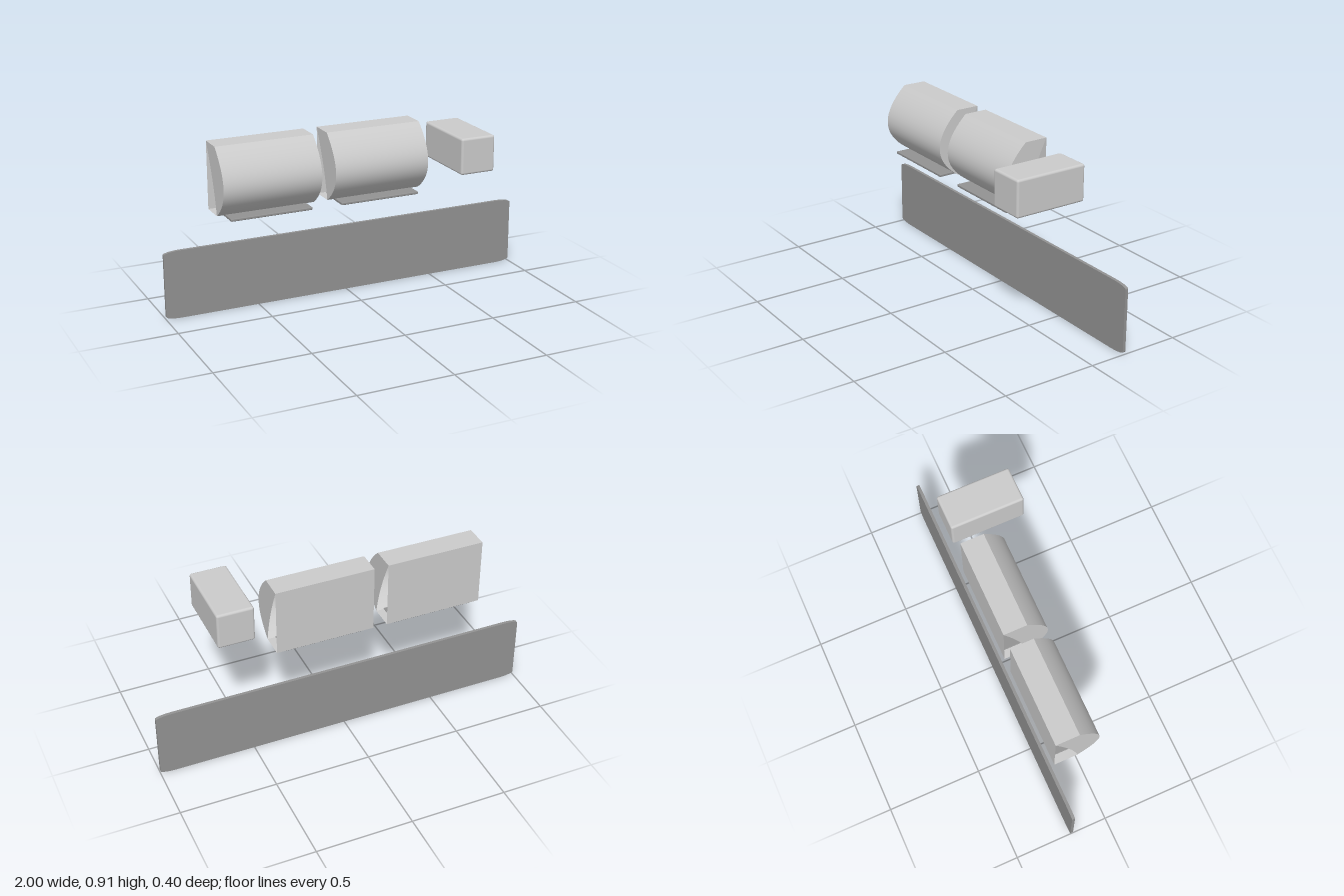
import * as THREE from 'three';
import { RoundedBoxGeometry } from 'three/addons/geometries/RoundedBoxGeometry.js';

const grey = new THREE.MeshStandardMaterial({ color: 0xcccccc });
const thin = new THREE.MeshStandardMaterial({ color: 0xcccccc, side: THREE.DoubleSide });
const dark = new THREE.MeshStandardMaterial({ color: 0x929292 });

const TOP = 0.91, BOTTOM = 0.555, EDGE = -0.066, BACK = -0.19;

function add(parent, name, geometry, material, x = 0, y = 0, z = 0) {
  const mesh = new THREE.Mesh(geometry, material);
  mesh.name = name;
  mesh.position.set(x, y, z);
  parent.add(mesh);
  return mesh;
}

// Bulging front sheet: one curve swept along x, smooth across the curve
function sweptSheet(curve, width, steps) {
  const geo = new THREE.PlaneGeometry(width, 1, 1, steps);
  const pos = geo.attributes.position;
  for (let i = 0; i < pos.count; i++) {
    const p = curve.getPoint(0.5 - pos.getY(i));
    pos.setXYZ(i, pos.getX(i), p.y, p.x);
  }
  geo.computeVertexNormals();
  return geo;
}

// Open shell with a curved front and partly closed ends; profile is in (z, y)
function makeShell(width) {
  const shell = new THREE.Group();
  const front = new THREE.QuadraticBezierCurve(
    new THREE.Vector2(EDGE, TOP), new THREE.Vector2(0.156, 0.705), new THREE.Vector2(EDGE, BOTTOM));
  add(shell, 'curvedFront', sweptSheet(front, width, 32), thin);

  const depth = EDGE - BACK, midZ = (EDGE + BACK) / 2;
  const top = add(shell, 'topPanel', new THREE.PlaneGeometry(width, depth), thin, 0, TOP, midZ);
  top.rotation.x = -Math.PI / 2;
  const bottom = add(shell, 'bottomPanel', new THREE.PlaneGeometry(width, depth), thin, 0, BOTTOM, midZ);
  bottom.rotation.x = Math.PI / 2;
  const back = add(shell, 'backPanel', new THREE.PlaneGeometry(width, TOP - BOTTOM), thin,
    0, (TOP + BOTTOM) / 2, BACK);
  back.rotation.y = Math.PI;

  // End cheeks, open towards the lower back
  const cheek = new THREE.Shape();
  cheek.moveTo(BACK, TOP);
  cheek.lineTo(EDGE, TOP);
  cheek.quadraticCurveTo(0.156, 0.705, EDGE, BOTTOM);
  cheek.quadraticCurveTo(-0.092, 0.714, BACK, TOP);
  for (const side of [-1, 1]) {
    const end = add(shell, side > 0 ? 'leftCheek' : 'rightCheek',
      new THREE.ShapeGeometry(cheek, 32), thin, side * width / 2, 0, 0);
    end.rotation.y = -Math.PI / 2;
  }
  return shell;
}

// Long panel with stretched, elliptical corners
function longPanel(w, h, d, rx, ry) {
  const s = new THREE.Shape();
  const corners = [[1, -1, -0.5], [1, 1, 0], [-1, 1, 0.5], [-1, -1, 1]];
  for (const [sx, sy, a] of corners) {
    const cx = sx * (w / 2 - rx), cy = sy * (h / 2 - ry);
    for (let i = 0; i <= 8; i++) {
      const t = Math.PI * (a + i / 16);
      s.lineTo(cx + rx * Math.cos(t), cy + ry * Math.sin(t));
    }
  }
  s.curves.shift();
  return new THREE.ExtrudeGeometry(s, { depth: d, bevelEnabled: false });
}

export function createModel() {
  const model = new THREE.Group();
  model.name = 'wallUnits';

  add(model, 'longPanel', longPanel(2, 0.362, 0.016, 0.09, 0.016), dark, 0, 0.181, -0.2);

  // Two matching shells, each with a tray below
  for (const x of [-0.495, 0.1]) {
    const unit = new THREE.Group();
    unit.name = 'shellUnit';
    unit.position.x = x;
    unit.add(makeShell(0.52));
    add(unit, 'tray', new RoundedBoxGeometry(0.435, 0.014, 0.198, 3, 0.004), dark, 0.001, 0.551, -0.081);
    model.add(unit);
  }

  add(model, 'sideBox', new RoundedBoxGeometry(0.192, 0.192, 0.394, 4, 0.012), grey, 0.565, 0.77, 0.003);
  return model;
}
